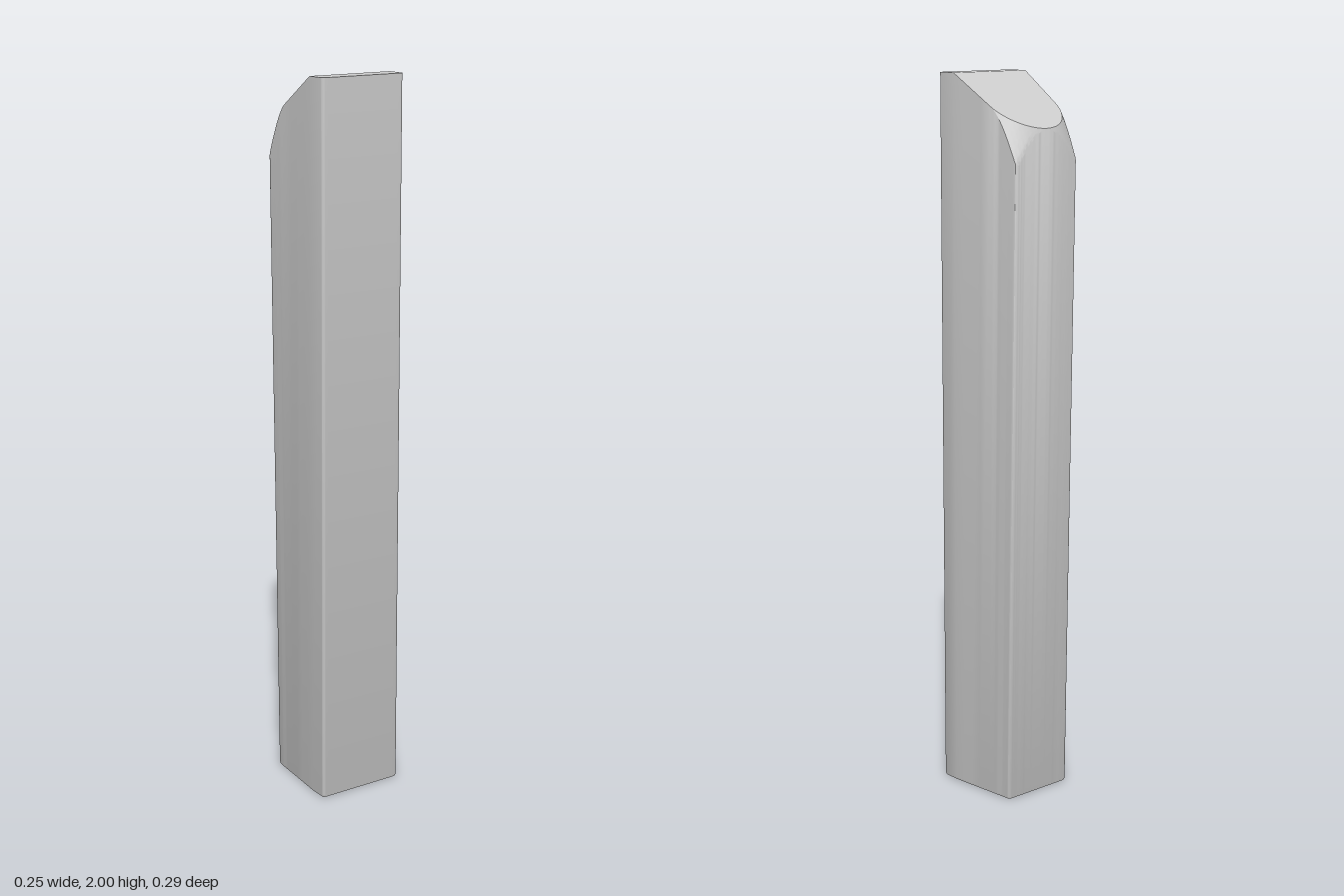
import * as THREE from 'three';
import { toCreasedNormals } from 'three/addons/utils/BufferGeometryUtils.js';

const FRONT = 0.145, BACK = -0.145, FOOT_BACK = -0.117;
const RIDGE = 0.085;   // where the flat top turns into the slope
const R = 0.008;       // radius of the upright edges
const ARCH_Z = -0.05, ARCH_DEPTH = 0.094;

// Half width of the tapered section at depth z, with rounded corners
function halfWidth(z) {
  const line = 0.127 - 0.02 * Math.max(0, (RIDGE - z) / (RIDGE - BACK));
  const d = Math.min(FRONT - z, z - BACK, R);
  return line - R + Math.sqrt(Math.max(0, R * R - (R - d) ** 2));
}

// Flat top, then a slope, with the two rear corners cut away beyond an arch
function topHeight(u, z) {
  const slope = 2 - 0.609 * Math.max(0, RIDGE - z);
  const r = Math.hypot(u, Math.min(0, z - ARCH_Z) / ARCH_DEPTH);
  return slope - 0.23 * Math.max(0, r - 1);
}

// Depths of the rows in one column of the top, lined up with ridge and arch
function rowDepths(u) {
  const arch = ARCH_Z - ARCH_DEPTH * Math.sqrt(Math.max(0, 1 - u * u));
  const rows = [];
  for (let k = 0; k <= 4; k++) rows.push(FRONT - R * (1 - Math.cos(k * Math.PI / 8)));
  rows.push(RIDGE);
  for (let k = 1; k <= 4; k++) rows.push(RIDGE + (arch - RIDGE) * k / 4);
  for (let k = 1; k <= 16; k++) rows.push(arch + (BACK - arch) * Math.sin(k * Math.PI / 32));
  return rows;
}

function postGeometry() {
  const pos = [], index = [], N = 48, M = rowDepths(0).length - 1;
  const at = (i, j) => i * (M + 1) + j;

  // Top surface
  for (let i = 0; i <= N; i++) {
    const u = Math.sin((i / N - 0.5) * Math.PI);
    for (const z of rowDepths(u)) pos.push(u * halfWidth(z), topHeight(u, z), z);
  }
  for (let i = 0; i < N; i++) for (let j = 0; j < M; j++) {
    const a = at(i, j), b = at(i + 1, j), c = at(i + 1, j + 1), d = at(i, j + 1);
    index.push(a, b, c, a, c, d);
  }

  // Rim of the top, counterclockwise from above
  const rim = [];
  for (let i = 0; i < N; i++) rim.push(at(i, 0));
  for (let j = 0; j < M; j++) rim.push(at(N, j));
  for (let i = N; i > 0; i--) rim.push(at(i, M));
  for (let j = M; j > 0; j--) rim.push(at(0, j));

  // Sides run down to a shallower foot with a slightly eased lower edge
  const foot = (FRONT - FOOT_BACK) / (FRONT - BACK), mid = (FRONT + FOOT_BACK) / 2;
  let upper = rim;
  for (const [y, scale] of [[0.008, 1], [0.002, 0.985], [0, 0.95]]) {
    const ring = rim.map((p) => {
      const z = FRONT - (FRONT - pos[p * 3 + 2]) * foot;
      pos.push(pos[p * 3] * scale, y, mid + (z - mid) * scale);
      return pos.length / 3 - 1;
    });
    ring.forEach((a, k) => {
      const n = (k + 1) % ring.length;
      index.push(a, ring[n], upper[n], a, upper[n], upper[k]);
    });
    upper = ring;
  }

  // Underside
  const centre = pos.length / 3;
  pos.push(0, 0, mid);
  upper.forEach((a, k) => index.push(centre, upper[(k + 1) % upper.length], a));

  const geometry = new THREE.BufferGeometry();
  geometry.setAttribute('position', new THREE.Float32BufferAttribute(pos, 3));
  geometry.setIndex(index);
  return toCreasedNormals(geometry, 0.5);
}

export function createModel() {
  const group = new THREE.Group();
  group.name = 'taperedPost';
  const post = new THREE.Mesh(postGeometry(), new THREE.MeshStandardMaterial({ color: 0xcccccc }));
  post.name = 'post';
  group.add(post);
  return group;
}
